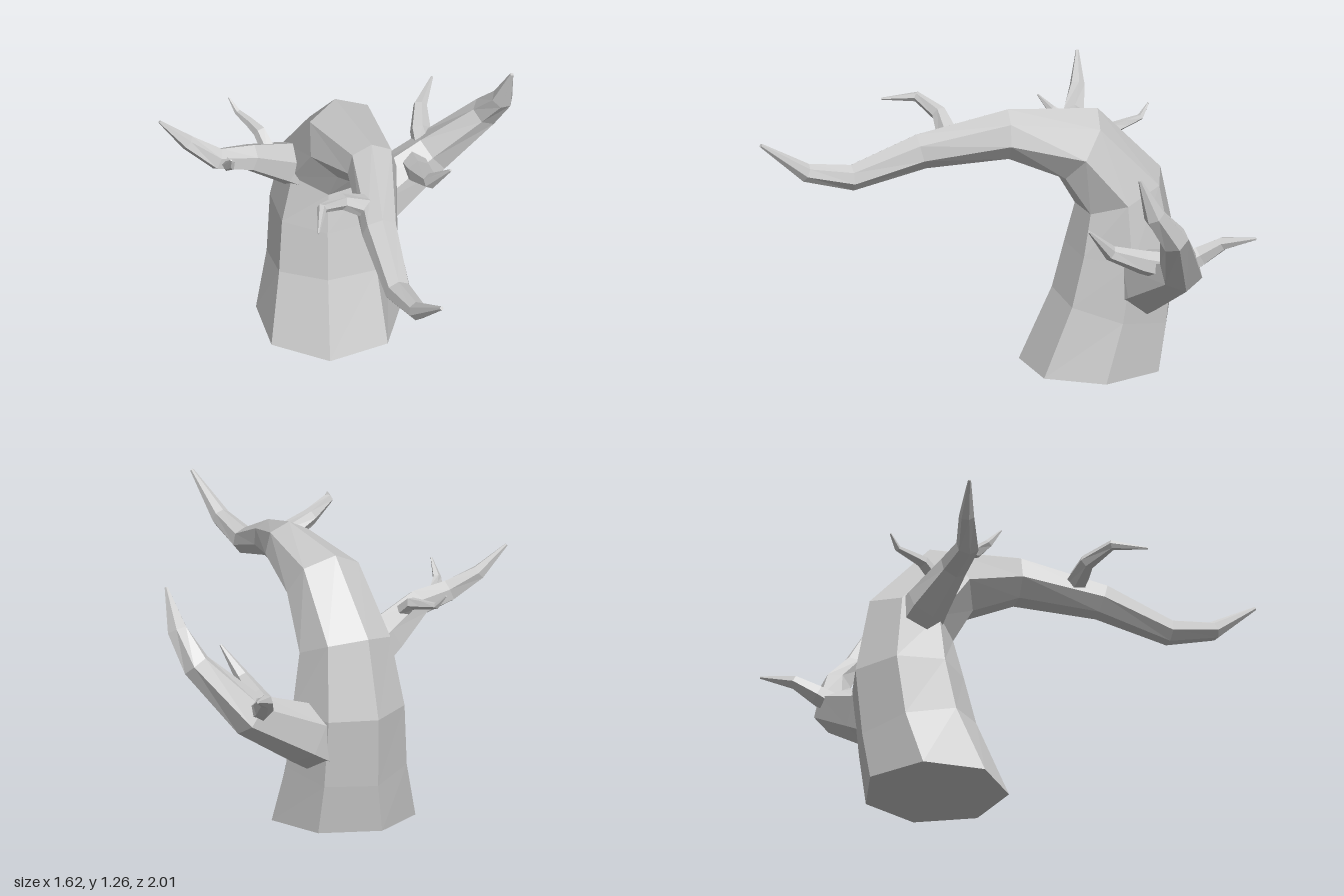
import * as THREE from 'three';

const material = new THREE.MeshStandardMaterial({ color: 0xcccccc, flatShading: true });

// Tapered faceted limb: nodes are [x, y, z, radius]; side is a reference axis across the limb.
function limb(name, nodes, sides, side, startDir) {
  const S = new THREE.Vector3(...side);
  const centers = nodes.map(n => new THREE.Vector3(n[0], n[1], n[2]));
  const last = nodes.length - 1;
  const dir = i => centers[i + 1].clone().sub(centers[i]).normalize();
  const pos = [], index = [];

  nodes.forEach((n, i) => {
    const t = new THREE.Vector3();
    if (i === 0 && startDir) t.set(...startDir);
    else {
      if (i > 0) t.add(dir(i - 1));
      if (i < last) t.add(dir(i));
    }
    t.normalize();
    const v = t.clone().cross(S).normalize();
    const u = t.clone().cross(v);
    for (let k = 0; k < sides; k++) {
      const a = (k / sides) * Math.PI * 2;
      const p = centers[i].clone()
        .addScaledVector(v, Math.cos(a) * n[3])
        .addScaledVector(u, Math.sin(a) * n[3]);
      pos.push(p.x, p.y, p.z);
    }
  });

  // Side walls
  for (let i = 0; i < last; i++) {
    for (let k = 0; k < sides; k++) {
      const a = i * sides + k, b = i * sides + (k + 1) % sides;
      index.push(a, b, b + sides, a, b + sides, a + sides);
    }
  }
  // End caps
  const top = last * sides;
  for (let k = 1; k < sides - 1; k++) {
    index.push(0, k + 1, k, top, top + k, top + k + 1);
  }

  const indexed = new THREE.BufferGeometry();
  indexed.setAttribute('position', new THREE.Float32BufferAttribute(pos, 3));
  indexed.setIndex(index);
  const geometry = indexed.toNonIndexed();
  geometry.computeVertexNormals();
  const mesh = new THREE.Mesh(geometry, material);
  mesh.name = name;
  return mesh;
}

export function createModel() {
  const tree = new THREE.Group();
  tree.name = 'bareTree';
  const X = [1, 0, 0], Y = [0, 1, 0], Z = [0, 0, 1];

  // Trunk rising, then arching forward to a pointed tip
  tree.add(limb('trunk', [
    [-0.075, 0, -0.53, 0.333],
    [-0.04, 0.28, -0.61, 0.28],
    [-0.025, 0.55, -0.65, 0.26],
    [-0.02, 0.82, -0.635, 0.213],
    [-0.04, 1.06, -0.44, 0.18],
    [-0.07, 1.142, -0.11, 0.115],
    [-0.21, 1.065, 0.25, 0.083],
    [-0.275, 0.96, 0.56, 0.06],
    [-0.29, 1.01, 0.78, 0.043],
    [-0.28, 1.175, 1.0, 0.009],
  ], 7, X, Y));

  // Large limb on the left with two twigs
  tree.add(limb('leftLimb', [
    [0.08, 0.385, -0.67, 0.145],
    [0.22, 0.46, -0.68, 0.14],
    [0.53, 0.605, -0.7, 0.1],
    [0.735, 0.84, -0.58, 0.068],
    [0.765, 0.98, -0.47, 0.05],
    [0.775, 1.165, -0.395, 0.008],
  ], 6, Z));
  tree.add(limb('leftFrontTwig', [
    [0.42, 0.59, -0.68, 0.065],
    [0.4, 0.62, -0.57, 0.055],
    [0.38, 0.68, -0.42, 0.035],
    [0.42, 0.81, -0.3, 0.006],
  ], 6, X));
  tree.add(limb('leftBackTwig', [
    [0.5, 0.61, -0.7, 0.06],
    [0.52, 0.66, -0.8, 0.048],
    [0.565, 0.72, -0.89, 0.032],
    [0.68, 0.765, -1.0, 0.006],
  ], 6, X));

  // Limb on the right with two twigs
  tree.add(limb('rightLimb', [
    [-0.1, 0.76, -0.66, 0.12],
    [-0.23, 0.84, -0.655, 0.1],
    [-0.42, 0.95, -0.63, 0.065],
    [-0.575, 0.985, -0.645, 0.053],
    [-0.69, 1.07, -0.715, 0.035],
    [-0.805, 1.192, -0.765, 0.007],
  ], 6, Z));
  tree.add(limb('rightFrontTwig', [
    [-0.54, 0.98, -0.64, 0.035],
    [-0.55, 0.985, -0.58, 0.03],
    [-0.58, 1.02, -0.54, 0.02],
    [-0.59, 1.095, -0.48, 0.004],
  ], 5, X));
  tree.add(limb('rightBackTwig', [
    [-0.31, 0.93, -0.66, 0.035],
    [-0.32, 0.99, -0.73, 0.03],
    [-0.335, 1.0, -0.8, 0.022],
    [-0.355, 1.01, -0.88, 0.015],
    [-0.375, 1.065, -0.928, 0.004],
  ], 5, X));

  // Small branch on the arching top
  tree.add(limb('archBranch', [
    [-0.16, 1.09, 0.12, 0.062],
    [-0.33, 1.18, 0.11, 0.037],
    [-0.46, 1.225, 0.165, 0.023],
    [-0.545, 1.205, 0.3, 0.005],
  ], 6, Y));

  return tree;
}
